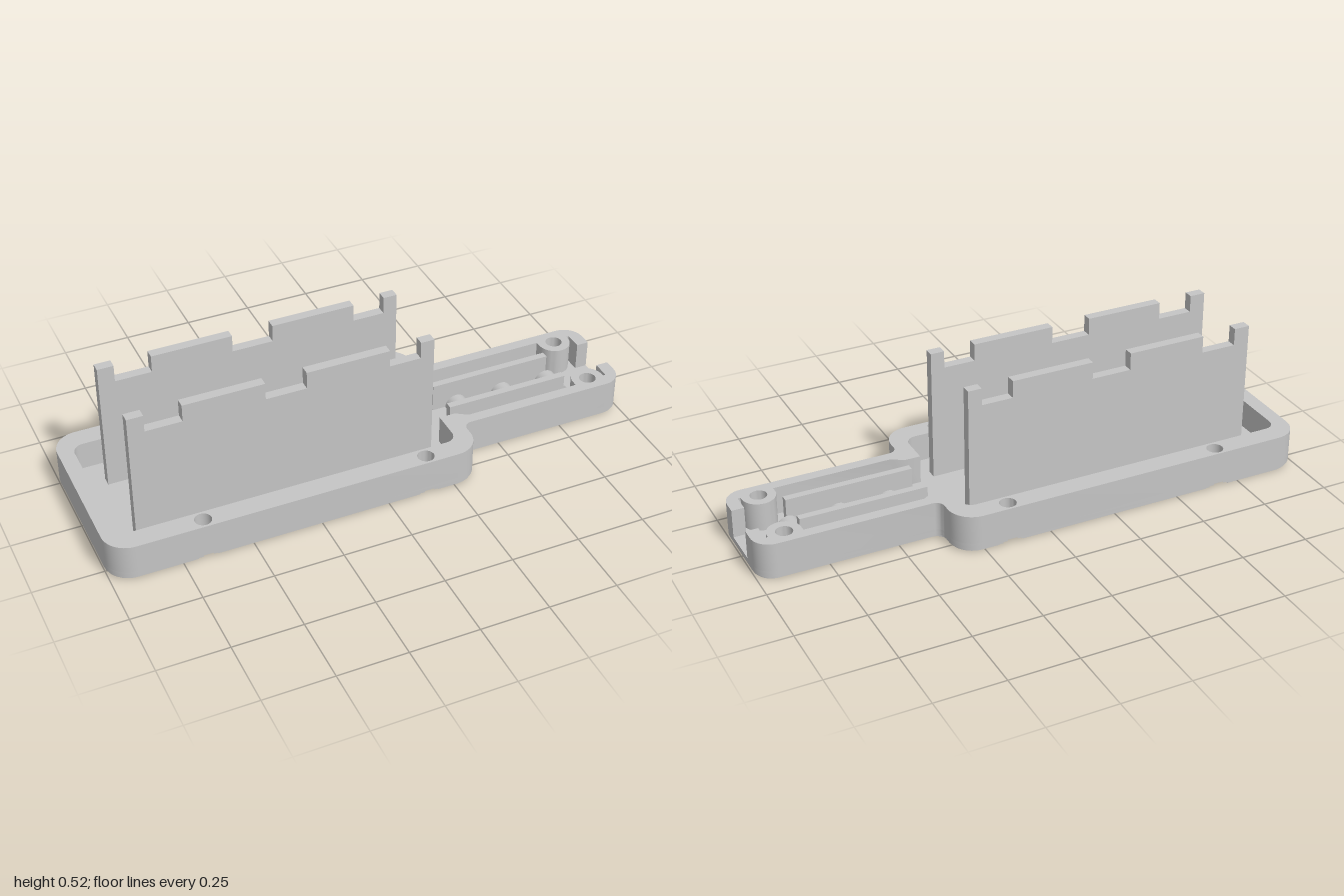
import * as THREE from 'three';
import { toCreasedNormals } from 'three/addons/utils/BufferGeometryUtils.js';

const PI = Math.PI;
const FLOOR = 0.035, RIM = 0.14;
const RIM_SCREWS = [[0.15, 0.293], [-0.665, 0.293]];
const NECK_SCREW = [0.885, 0.125];

const grey = new THREE.MeshStandardMaterial({ color: 0xc5c5c5 });
grey.name = 'plain grey';

// Points along an arc in the plan (x, z)
function arc(cx, cz, r, a0, a1, n = 10) {
  return Array.from({ length: n + 1 }, (_, i) => {
    const a = a0 + (a1 - a0) * i / n;
    return new THREE.Vector2(cx + r * Math.cos(a), cz + r * Math.sin(a));
  });
}
const pts = (...list) => list.map(([x, z]) => new THREE.Vector2(x, z));
const mirrored = (half) => half.map((p) => new THREE.Vector2(p.x, -p.y)).reverse();

// Half of the outer outline, from the neck end round to the body end
function outerHalf(inset, notch) {
  const edge = 0.331 - inset;
  const half = [
    ...arc(0.93, 0.115, 0.07 - inset, 0, PI / 2),
    ...arc(0.379, 0.215, 0.03 + inset, PI * 1.5, PI, 6),
    ...arc(0.259, 0.241, 0.09 - inset, 0, PI / 2),
  ];
  // screw recesses that break through the lower edge
  if (notch) for (const [x, z] of RIM_SCREWS) {
    const a = Math.asin((edge - z) / notch);
    half.push(...arc(x, z, notch, a, -PI - a, 20));
  }
  half.push(...arc(-0.91, 0.241, 0.09 - inset, PI / 2, PI));
  return half;
}

// Half of the cavity outline, from the end slot round to the body end
function innerHalf() {
  return [
    ...pts([1, 0.07], [0.955, 0.07], [0.955, 0.135], [0.945, 0.135], [0.945, 0.125]),
    ...arc(0.885, 0.125, 0.06, -0.1, -PI, 16),
    ...pts([0.825, 0.145], [0.39, 0.145], [0.35, 0.118], [0.29, 0.118]),
    ...arc(0.25, 0.215, 0.04, 0, PI / 2, 6),
    ...arc(-0.905, 0.215, 0.04, PI / 2, PI, 6),
  ];
}

function addHoles(shape, centres, r) {
  for (const [x, z] of centres) for (const s of [1, -1]) {
    shape.holes.push(new THREE.Path(arc(x, s * z, r, 0, 2 * PI, 24).slice(0, -1)));
  }
}

// Extrude a plan shape between two heights
function slab(shape, y0, y1) {
  const g = new THREE.ExtrudeGeometry(shape, { depth: y1 - y0, bevelEnabled: false });
  g.rotateX(PI / 2).translate(0, y1, 0);
  return toCreasedNormals(g, 0.6);
}

export function createModel() {
  const model = new THREE.Group();
  model.name = 'housing';
  const add = (name, geometry, parent = model) => {
    const mesh = new THREE.Mesh(geometry, grey);
    mesh.name = name;
    parent.add(mesh);
    return mesh;
  };
  const box = (name, x0, x1, y0, y1, z0, z1, parent) => add(name,
    new THREE.BoxGeometry(x1 - x0, y1 - y0, z1 - z0)
      .translate((x0 + x1) / 2, (y0 + y1) / 2, (z0 + z1) / 2), parent);

  // Base: stepped lower edge with narrowing screw recesses, then the floor
  const layers = [
    [0, 0.007, 0.011, 0.052], [0.007, 0.014, 0.004, 0.048],
    [0.014, 0.019, 0, 0.042], [0.019, FLOOR, 0, 0],
  ];
  for (const [y0, y1, inset, notch] of layers) {
    const half = outerHalf(inset, notch);
    const shape = new THREE.Shape([...half, ...mirrored(half)]);
    addHoles(shape, [NECK_SCREW], notch || 0.03);
    if (!notch) addHoles(shape, RIM_SCREWS, 0.03);
    add('baseLayer', slab(shape, y0, y1));
  }

  // Wall: one open loop, outside edge then inside edge, with screw holes
  const outer = outerHalf(0, 0), inner = innerHalf();
  const wall = new THREE.Shape([
    ...outer, ...mirrored(outer), ...mirrored(inner).reverse(), ...[...inner].reverse(),
  ]);
  addHoles(wall, [...RIM_SCREWS, NECK_SCREW], 0.03);
  add('wall', slab(wall, FLOOR, RIM));

  // Pair of tall notched side plates
  const profile = new THREE.Shape(pts(
    [-0.86, FLOOR], [0.234, FLOOR], [0.234, 0.523], [0.184, 0.523], [0.184, 0.46],
    [0.069, 0.46], [0.069, 0.523], [-0.235, 0.523], [-0.235, 0.46], [-0.382, 0.46],
    [-0.382, 0.523], [-0.672, 0.523], [-0.672, 0.46], [-0.802, 0.46],
    [-0.802, 0.523], [-0.86, 0.523]));
  for (const z of [0.132, -0.167]) {
    add('sidePlate', new THREE.ExtrudeGeometry(profile, { depth: 0.035, bevelEnabled: false }))
      .position.z = z;
  }

  // U-shaped bracket in the body, ribbed on its neck side
  const bracket = new THREE.Group();
  bracket.name = 'bracket';
  model.add(bracket);
  box('bracketBack', 0.045, 0.055, FLOOR, RIM, -0.122, 0.122, bracket);
  for (const s of [-0.11, 0.11]) {
    box('bracketArm', -0.033, 0.045, FLOOR, RIM, s - 0.012, s + 0.012, bracket);
  }
  for (let i = -2; i <= 2; i++) {
    box('bracketRib', 0.055, 0.065, FLOOR, RIM, i * 0.042 - 0.01, i * 0.042 + 0.01, bracket);
  }

  // Neck rails and the rounded bars between them
  for (const s of [-0.067, 0.067]) box('neckRail', 0.35, 0.815, FLOOR, RIM, s - 0.013, s + 0.013);
  for (const x of [0.443, 0.628, 0.812]) {
    const bar = new THREE.CylinderGeometry(0.042, 0.042, 0.106, 24, 1, false, PI / 2, PI);
    add('roundedBar', bar.rotateX(PI / 2)).position.set(x, FLOOR, 0);
  }
  return model;
}
